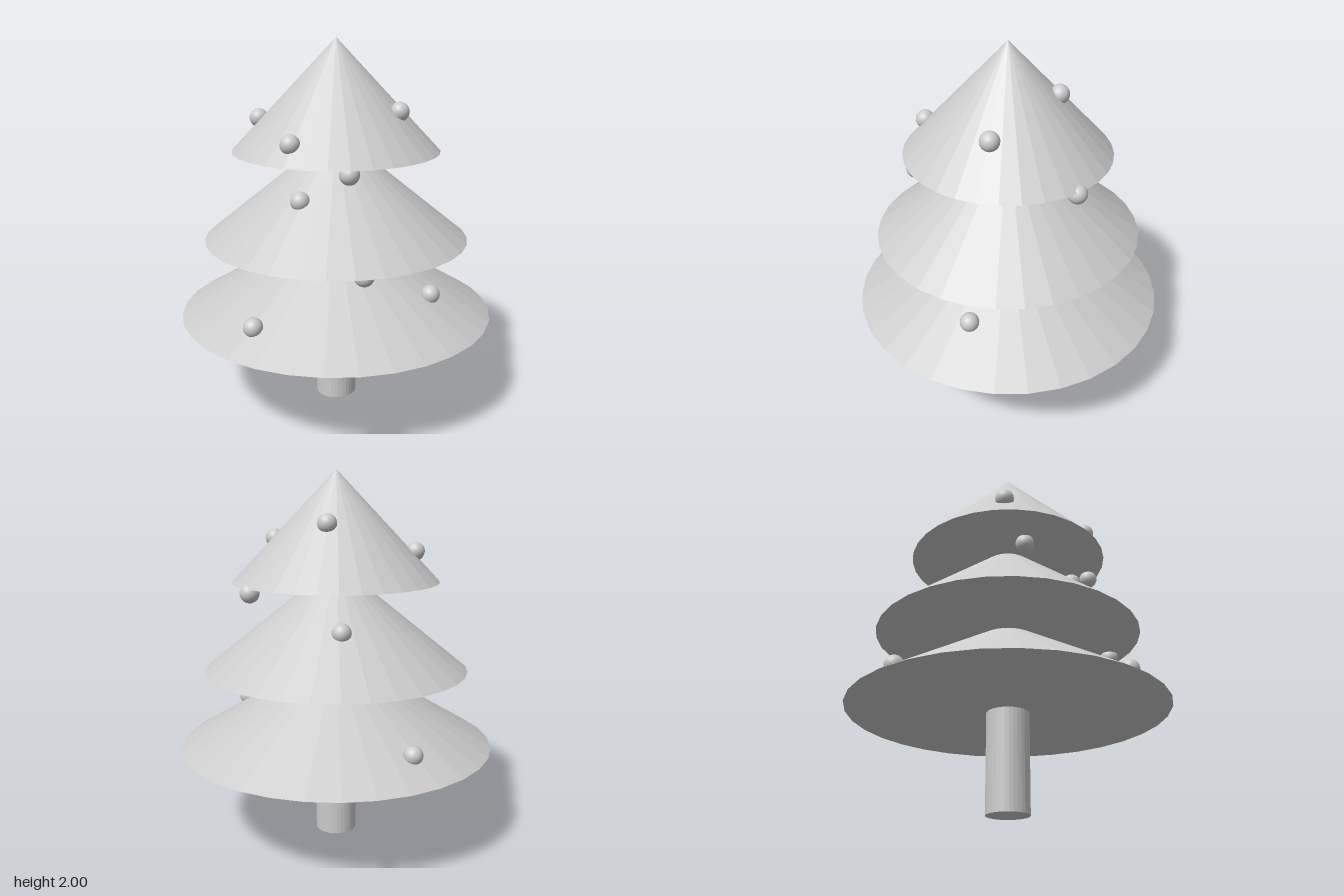
import * as THREE from 'three';

export function createModel() {
  const tree = new THREE.Group();
  tree.name = 'tree';
  const flat = new THREE.MeshStandardMaterial({ color: 0xcccccc, flatShading: true });
  const smooth = new THREE.MeshStandardMaterial({ color: 0xcccccc });

  const add = (name, geometry, material, x, y, z) => {
    const mesh = new THREE.Mesh(geometry, material);
    mesh.name = name;
    mesh.position.set(x, y, z);
    tree.add(mesh);
    return mesh;
  };

  // Trunk, reaching just inside the lowest tier
  add('trunk', new THREE.CylinderGeometry(0.113, 0.113, 0.54, 32), flat, 0, 0.27, 0);

  // Foliage tiers: base height, apex height, radius, depth scale
  const tiers = [
    ['lowerFoliage', 0.525, 1.04, 0.855, 0.987],
    ['middleFoliage', 0.945, 1.52, 0.713, 1],
    ['upperFoliage', 1.42, 2.0, 0.553, 0.982],
  ];
  for (const [name, base, apex, radius, depth] of tiers) {
    const cone = new THREE.ConeGeometry(radius, apex - base, 32);
    add(name, cone, flat, 0, (base + apex) / 2, 0).scale.z = depth;
  }

  // Round ornaments, resting on the slopes or hanging under the rims
  const ball = new THREE.SphereGeometry(0.05, 24, 16);
  const ornaments = [
    // upper slope
    [-0.4, 1.58, -0.12], [-0.27, 1.52, 0.37], [0.3, 1.64, 0.185], [0.1, 1.735, -0.235],
    // upper rim
    [0.485, 1.395, -0.19], [0, 1.39, 0.485], [-0.29, 1.39, 0.02],
    // middle slope
    [-0.22, 1.22, 0.3], [0.06, 1.21, -0.38],
    // middle rim
    [0.61, 0.925, 0], [0.055, 0.925, 0.61],
    // lower slope
    [-0.475, 0.64, 0.49], [0.45, 0.71, 0.35], [-0.24, 0.64, -0.625],
  ];
  for (const p of ornaments) add('ornament', ball, smooth, ...p);

  return tree;
}
